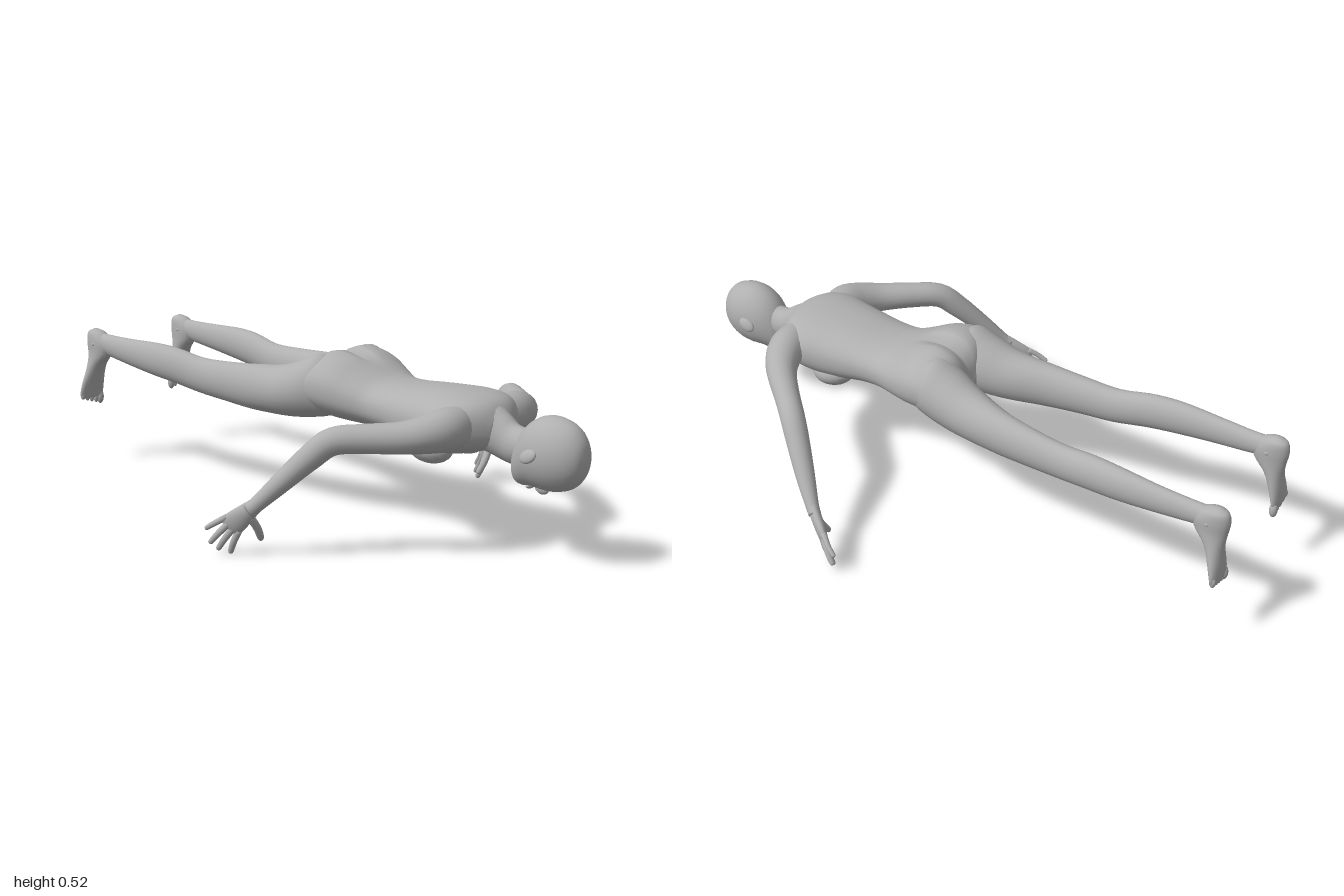
import * as THREE from 'three';

const skin = new THREE.MeshStandardMaterial({ color: 0xb0b0b0 });
skin.name = 'plain grey';

const V = (x, y, z) => new THREE.Vector3(x, y, z);

// Smooth skin through stations [x, y, z, ru, rv]. With a fixed axis the rings stay
// parallel, otherwise they follow the path; v0 is the direction of rv.
function loft(stations, { axis = null, v0 = V(0, 1, 0), rings = 24, sides = 20, power = 1, warp = null } = {}) {
  const path = new THREE.CatmullRomCurve3(stations.map(s => V(s[0], s[1], s[2])), false, 'catmullrom', 0.5);
  const size = new THREE.CatmullRomCurve3(stations.map(s => V(s[3], s[4], 0)), false, 'catmullrom', 0.5);
  const pos = [], idx = [];
  const shape = c => Math.sign(c) * Math.pow(Math.abs(c), power);
  for (let i = 0; i <= rings; i++) {
    const k = i / rings, c = path.getPoint(k), r = size.getPoint(k);
    const t = axis || path.getTangent(k);
    const u = v0.clone().cross(t).normalize(), v = t.clone().cross(u).normalize();
    for (let j = 0; j < sides; j++) {
      const a = j / sides * Math.PI * 2;
      const p = c.clone().addScaledVector(u, shape(Math.cos(a)) * Math.max(r.x, 0.001))
        .addScaledVector(v, shape(Math.sin(a)) * Math.max(r.y, 0.001));
      if (warp) warp(p);
      pos.push(p.x, p.y, p.z);
    }
  }
  for (let i = 0; i < rings; i++) for (let j = 0; j < sides; j++) {
    const a = i * sides + j, b = i * sides + (j + 1) % sides;
    idx.push(a, b, a + sides, b, b + sides, a + sides);
  }
  // end caps
  const last = rings * sides, n = pos.length / 3;
  for (const s of [stations[0], stations[stations.length - 1]]) pos.push(s[0], s[1], s[2]);
  for (let j = 0; j < sides; j++) {
    const q = (j + 1) % sides;
    idx.push(n, q, j, n + 1, last + j, last + q);
  }
  const g = new THREE.BufferGeometry();
  g.setAttribute('position', new THREE.Float32BufferAttribute(pos, 3));
  g.setIndex(idx);
  g.computeVertexNormals();
  return g;
}

// Upright section at z from half width, bottom and top heights
const sec = (z, hw, lo, hi, x = 0) => [x, (lo + hi) / 2, z, hw, (hi - lo) / 2];
const BACKWARD = V(0, 0, -1), DOWN = V(0, -1, 0);

export function createModel() {
  const model = new THREE.Group();
  model.name = 'figure';
  const add = (name, geo) => {
    const m = new THREE.Mesh(geo, skin);
    m.name = name;
    model.add(m);
    return m;
  };
  const blob = (name, x, y, z, a, b, c, rx = 0, rz = 0) => {
    const m = add(name, new THREE.SphereGeometry(1, 20, 14));
    m.position.set(x, y, z);
    m.scale.set(a, b, c);
    m.rotation.set(rx, 0, rz);
  };

  // Head, facing down
  add('head', loft([
    sec(0.993, 0.004, 0.33, 0.34), sec(0.983, 0.036, 0.285, 0.385), sec(0.955, 0.062, 0.25, 0.422),
    sec(0.91, 0.079, 0.231, 0.442), sec(0.86, 0.081, 0.227, 0.444), sec(0.815, 0.072, 0.23, 0.425),
    sec(0.78, 0.056, 0.226, 0.39), sec(0.76, 0.04, 0.232, 0.345), sec(0.752, 0.012, 0.25, 0.30),
  ], { axis: BACKWARD, rings: 32, sides: 28 }));
  blob('nose', 0, 0.228, 0.842, 0.012, 0.018, 0.024, 0.25);
  blob('lips', 0, 0.228, 0.803, 0.022, 0.008, 0.009);

  // Neck
  add('neck', loft([
    sec(0.82, 0.045, 0.29, 0.39), sec(0.75, 0.046, 0.28, 0.395), sec(0.71, 0.05, 0.285, 0.42),
    sec(0.66, 0.07, 0.30, 0.45), sec(0.61, 0.09, 0.31, 0.46),
  ], { axis: BACKWARD }));

  // Torso, with a crease between the buttocks
  add('torso', loft([
    sec(0.70, 0.045, 0.33, 0.41), sec(0.672, 0.10, 0.315, 0.447), sec(0.63, 0.155, 0.30, 0.465),
    sec(0.57, 0.168, 0.285, 0.473), sec(0.50, 0.156, 0.275, 0.472), sec(0.42, 0.145, 0.285, 0.467),
    sec(0.34, 0.136, 0.303, 0.461), sec(0.27, 0.138, 0.31, 0.464), sec(0.21, 0.158, 0.313, 0.488),
    sec(0.15, 0.178, 0.315, 0.518), sec(0.09, 0.188, 0.32, 0.53), sec(0.04, 0.185, 0.325, 0.515),
    sec(0.01, 0.15, 0.335, 0.48), sec(-0.005, 0.07, 0.36, 0.43),
  ], {
    axis: BACKWARD, rings: 52, sides: 48, power: 0.88,
    warp: p => {
      if (p.y > 0.42 && p.z < 0.2)
        p.y -= 0.035 * Math.exp(-Math.pow(p.x / 0.022, 2)) * Math.min(1, (0.2 - p.z) / 0.08);
    },
  }));

  for (const s of [1, -1]) {
    const side = s > 0 ? 'left' : 'right';

    // Face and chest
    blob(side + 'Eye', s * 0.031, 0.25, 0.868, 0.016, 0.012, 0.01);
    blob(side + 'Ear', s * 0.083, 0.338, 0.852, 0.01, 0.02, 0.03, -0.4, s * 0.35);
    blob(side + 'Chest', s * 0.078, 0.30, 0.488, 0.062, 0.047, 0.075, 0.15);

    // Leg
    add(side + 'Leg', loft([
      sec(0.13, 0.06, 0.34, 0.47, s * 0.105), sec(0.07, 0.088, 0.322, 0.52, s * 0.102),
      sec(0.0, 0.089, 0.31, 0.497, s * 0.107), sec(-0.08, 0.076, 0.305, 0.468, s * 0.12),
      sec(-0.2, 0.054, 0.308, 0.455, s * 0.143), sec(-0.32, 0.044, 0.318, 0.447, s * 0.156),
      sec(-0.43, 0.039, 0.327, 0.445, s * 0.164), sec(-0.54, 0.039, 0.345, 0.463, s * 0.178),
      sec(-0.64, 0.036, 0.357, 0.468, s * 0.187), sec(-0.76, 0.029, 0.372, 0.464, s * 0.19),
      sec(-0.86, 0.025, 0.385, 0.462, s * 0.189), sec(-0.92, 0.025, 0.395, 0.462, s * 0.189),
      sec(-0.96, 0.022, 0.40, 0.455, s * 0.189),
    ], { axis: BACKWARD, rings: 44, sides: 24 }));

    // Foot, pointing down from the heel, with five toes
    const footRing = (y, x, hw, back, front) => [s * x, y, (back + front) / 2, hw, (front - back) / 2];
    add(side + 'Foot', loft([
      footRing(0.474, 0.19, 0.008, -0.965, -0.945), footRing(0.462, 0.19, 0.025, -0.988, -0.91),
      footRing(0.43, 0.19, 0.031, -0.995, -0.875), footRing(0.39, 0.19, 0.031, -0.99, -0.885),
      footRing(0.345, 0.193, 0.035, -0.985, -0.925), footRing(0.29, 0.198, 0.044, -0.99, -0.95),
      footRing(0.255, 0.2, 0.048, -0.993, -0.962), footRing(0.235, 0.2, 0.044, -0.992, -0.968),
      footRing(0.228, 0.2, 0.03, -0.986, -0.974),
    ], { axis: DOWN, v0: V(0, 0, 1), rings: 30, sides: 20 }));
    for (let i = 0; i < 5; i++)
      blob(side + 'Toe', s * (0.163 + i * 0.0185), 0.226 + i * 0.004, -0.981, i ? 0.0085 : 0.0125, 0.026 - i * 0.002, i ? 0.01 : 0.013);
    blob(side + 'Ankle', s * 0.19, 0.425, -0.935, 0.034, 0.014, 0.016);

    // Arm
    add(side + 'Arm', loft([
      [0.08, 0.385, 0.615, 0.05, 0.06], [0.15, 0.385, 0.612, 0.06, 0.064], [0.21, 0.378, 0.59, 0.056, 0.056],
      [0.27, 0.37, 0.545, 0.047, 0.047], [0.34, 0.367, 0.47, 0.041, 0.043], [0.4, 0.358, 0.402, 0.039, 0.041],
      [0.44, 0.31, 0.352, 0.037, 0.038], [0.495, 0.228, 0.283, 0.03, 0.03], [0.535, 0.165, 0.23, 0.021, 0.023],
      [0.548, 0.145, 0.21, 0.019, 0.024],
    ].map(p => [s * p[0], ...p.slice(1)]), { rings: 36, sides: 20 }));

    // Hand
    const across = V(s * 0.43, 0.75, -0.5);
    add(side + 'Palm', loft([
      [s * 0.535, 0.165, 0.23, 0.017, 0.022], [s * 0.552, 0.135, 0.2, 0.017, 0.029],
      [s * 0.566, 0.108, 0.174, 0.015, 0.035], [s * 0.575, 0.091, 0.157, 0.011, 0.033],
      [s * 0.578, 0.085, 0.151, 0.004, 0.022],
    ], { v0: across, rings: 14, sides: 16 }));
    const digit = (name, a, m, b, r) => {
      const tip = V(...b).lerp(V(...m), 0.14);
      add(name, loft([
        [...a, r * 1.1], [...m, r], [tip.x, tip.y, tip.z, r * 0.8], [...b, r * 0.1],
      ].map(p => [s * p[0], p[1], p[2], p[3], p[3]]), { v0: across, rings: 12, sides: 10 }));
    };
    const tips = [[0.563, 0.004, 0.143], [0.587, 0.014, 0.115], [0.607, 0.035, 0.102], [0.612, 0.078, 0.09]];
    tips.forEach((tip, i) => {
      const k = (i - 1.5) / 1.5 * 0.027;
      const base = [0.571 + 0.43 * k, 0.1 + 0.75 * k, 0.165 - 0.5 * k];
      const mid = base.map((c, n) => (c + tip[n]) / 2 + (n === 0 ? 0.004 : 0));
      digit(side + 'Finger', base, mid, tip, i === 3 ? 0.0085 : 0.01);
    });
    digit(side + 'Thumb', [0.546, 0.128, 0.208], [0.518, 0.085, 0.212], [0.494, 0.043, 0.203], 0.012);
  }
  return model;
}
